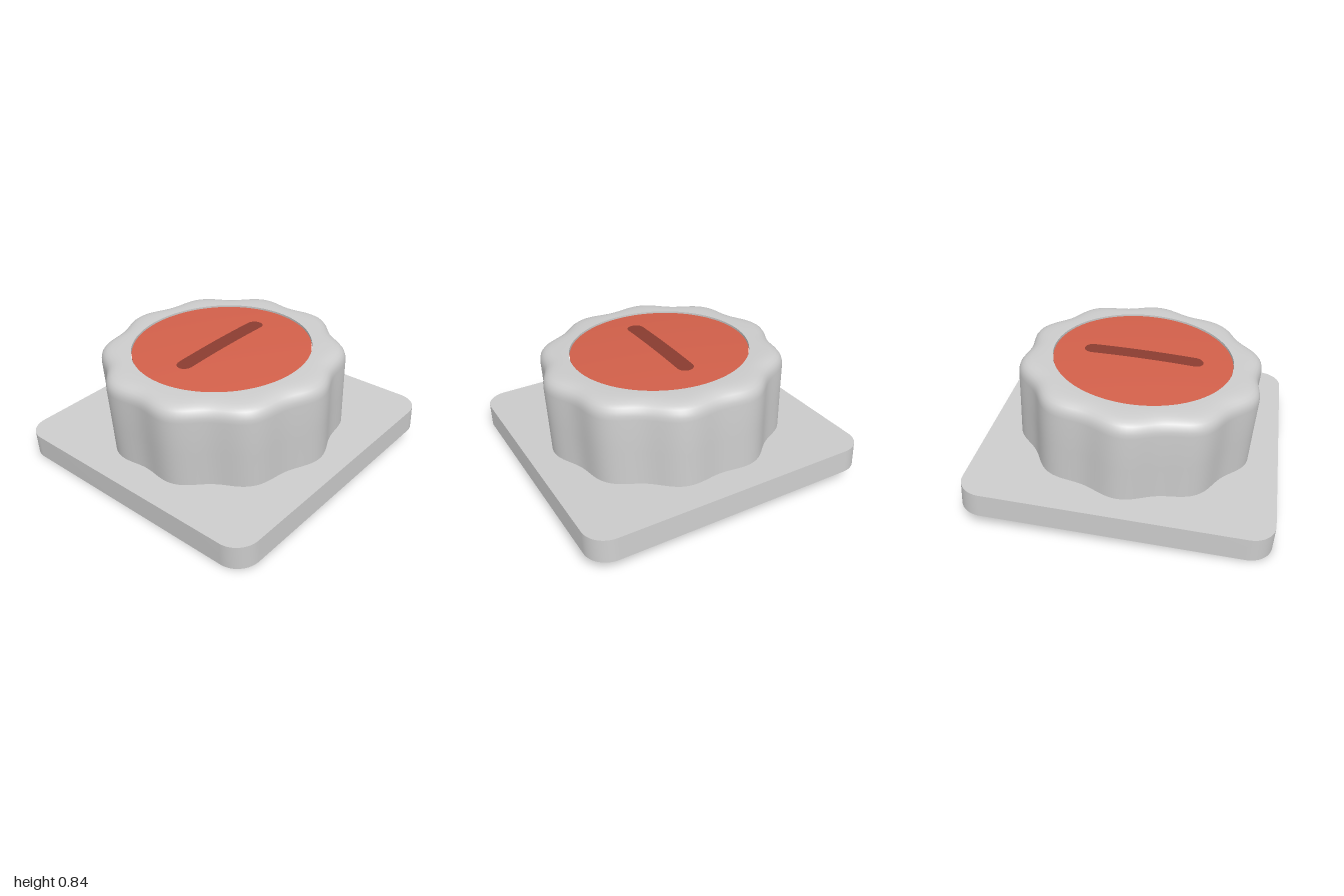
import * as THREE from 'three';
import { toCreasedNormals } from 'three/addons/utils/BufferGeometryUtils.js';

const TILT = 0.0645, HALF = 0.997, PLATE_H = 0.163;
const LOBES = 10, DISC_R = 0.605;

const grey = new THREE.MeshStandardMaterial({ color: 0xcccccc, name: 'lightGrey' });
const red = new THREE.MeshStandardMaterial({ color: 0xd2604a, name: 'capRed' });
const dark = new THREE.MeshStandardMaterial({ color: 0x8a3c30, name: 'markRed' });

// height of the gently domed cap at radius r
const domeY = (r) => 0.729 + 0.018 * (1 - (r / DISC_R) ** 2);

function part(name, geometry, material) {
  const mesh = new THREE.Mesh(geometry, material);
  mesh.name = name;
  return mesh;
}

// square plate with rounded corners
function plateGeometry() {
  const h = HALF, r = 0.16, s = new THREE.Shape();
  s.absarc(h - r, h - r, r, 0, Math.PI / 2);
  s.absarc(r - h, h - r, r, Math.PI / 2, Math.PI);
  s.absarc(r - h, r - h, r, Math.PI, Math.PI * 1.5);
  s.absarc(h - r, r - h, r, Math.PI * 1.5, Math.PI * 2);
  s.closePath();
  const g = new THREE.ExtrudeGeometry(s, { depth: PLATE_H, bevelEnabled: false, curveSegments: 12 });
  return toCreasedNormals(g.rotateX(-Math.PI / 2), 0.6);
}

// turned body whose radius waves around the axis, fading out at the rim
function bodyGeometry() {
  const profile = [[0.796, 0.15], [0.801, 0.4], [0.807, 0.635], [0.805, 0.662], [0.797, 0.688],
    [0.782, 0.708], [0.76, 0.723], [0.73, 0.733], [0.69, 0.738], [0.65, 0.74],
    [DISC_R + 0.004, 0.74], [DISC_R + 0.004, 0.715]].map(([x, y]) => new THREE.Vector2(x, y));
  const g = new THREE.LatheGeometry(profile, 160);
  const p = g.attributes.position;
  for (let i = 0; i < p.count; i++) {
    const x = p.getX(i), z = p.getZ(i), r = Math.hypot(x, z);
    const fade = THREE.MathUtils.smoothstep(r, 0.62, 0.76);
    const k = 1 + 0.024 * fade * Math.cos(LOBES * Math.atan2(z, x)) / r;
    p.setX(i, x * k);
    p.setZ(i, z * k);
  }
  return toCreasedNormals(g, 0.7);
}

// shallow dome
function capGeometry() {
  const pts = [new THREE.Vector2(DISC_R, 0.7)];
  for (let i = 12; i >= 0; i--) {
    const r = DISC_R * i / 12;
    pts.push(new THREE.Vector2(r, domeY(r)));
  }
  return toCreasedNormals(new THREE.LatheGeometry(pts, 96), 0.7);
}

// round-ended strip draped over the dome
function markGeometry() {
  const w = 0.057, len = 0.405, g = new THREE.PlaneGeometry(2, 2, 6, 48).rotateX(-Math.PI / 2);
  const p = g.attributes.position;
  for (let i = 0; i < p.count; i++) {
    // rows are packed towards the ends to round them smoothly
    const z = len * Math.sin(p.getZ(i) * Math.PI / 2);
    const over = Math.max(0, Math.abs(z) - (len - w));
    const x = p.getX(i) * Math.sqrt(Math.max(0, w * w - over * over));
    p.setXYZ(i, x, domeY(Math.hypot(x, z)) + 0.003, z);
  }
  g.computeVertexNormals();
  return g;
}

export function createModel() {
  const model = new THREE.Group();
  model.name = 'rotaryKnob';
  const tilted = new THREE.Group();
  tilted.name = 'tiltedAssembly';
  tilted.rotation.x = TILT;
  tilted.position.set(0, HALF * Math.sin(TILT), -0.005);
  tilted.add(
    part('basePlate', plateGeometry(), grey),
    part('scallopedBody', bodyGeometry(), grey),
    part('cap', capGeometry(), red),
    part('pointerMark', markGeometry(), dark),
  );
  model.add(tilted);
  return model;
}
